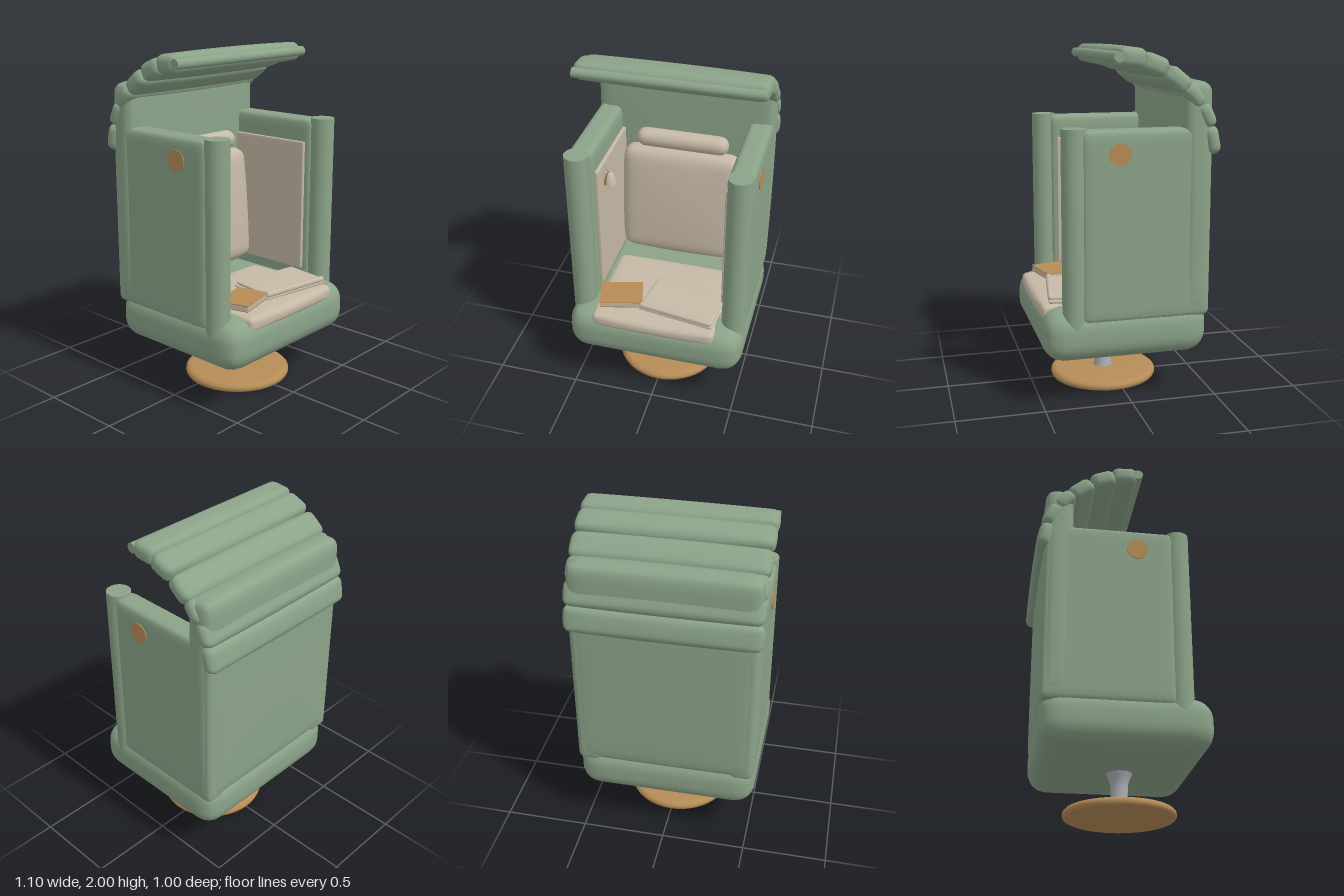
import * as THREE from 'three';
import { mergeVertices } from 'three/addons/utils/BufferGeometryUtils.js';

const mat = (name, color, side = THREE.FrontSide) => {
  const m = new THREE.MeshStandardMaterial({ color, side });
  m.name = name;
  return m;
};

// Upholstered block: rounded box whose faces swell by `puff`
function cushion(w, h, d, r, puff = 0, n = 18) {
  const g = new THREE.BoxGeometry(2, 2, 2, n, n, n);
  g.deleteAttribute('uv');
  g.deleteAttribute('normal');
  const half = [w / 2, h / 2, d / 2];
  const pos = g.attributes.position;
  for (let i = 0; i < pos.count; i++) {
    // crowd the grid toward the edges so the rounding is smooth
    const p = [pos.getX(i), pos.getY(i), pos.getZ(i)].map((t, a) => Math.sin(t * Math.PI / 2) * half[a]);
    const inner = p.map((v, a) => THREE.MathUtils.clamp(v, -(half[a] - r), half[a] - r));
    const dir = new THREE.Vector3(...p.map((v, a) => v - inner[a])).normalize().multiplyScalar(r).toArray();
    const q = inner.map((v, a) => v + dir[a]);
    const u = q.map((v, a) => v / half[a]);
    const f = u.map(v => 1 - v * v);
    pos.setXYZ(i,
      q[0] + puff * u[0] * f[1] * f[2],
      q[1] + puff * u[1] * f[0] * f[2],
      q[2] + puff * u[2] * f[0] * f[1]);
  }
  const m = mergeVertices(g, 1e-5);
  m.computeVertexNormals();
  return m;
}

export function createModel() {
  const green = mat('sage green fabric', 0x8ba389);
  const beige = mat('beige fabric', 0xc6b9a6);
  const wood = mat('wood', 0xb58c57);
  const steel = mat('steel', 0xabaeb3);
  const shadeBeige = mat('lamp shade beige', 0xc6b9a6, THREE.DoubleSide);
  const shadeWood = mat('lamp shade wood', 0xb58c57, THREE.DoubleSide);

  const model = new THREE.Group();
  model.name = 'hoodedPodChair';
  const add = (name, geo, material, x, y, z, parent = model) => {
    const m = new THREE.Mesh(geo, material);
    m.name = name;
    m.position.set(x, y, z);
    parent.add(m);
    return m;
  };
  const lathe = pts => new THREE.LatheGeometry(pts.map(p => new THREE.Vector2(...p)), 48);

  // Pedestal
  add('footDisc', lathe([[0, 0], [0.3, 0], [0.314, 0.006], [0.32, 0.02], [0.318, 0.035], [0.305, 0.047], [0.285, 0.053], [0, 0.055]]), wood, 0, 0, 0.05);
  add('stem', lathe([[0.057, 0.05], [0.05, 0.09], [0.048, 0.14], [0.049, 0.19], [0.056, 0.22], [0.068, 0.25], [0.078, 0.275]]), steel, 0, 0, 0.05);

  // Body
  add('base', cushion(1.065, 0.3, 0.95, 0.12), green, 0, 0.415, 0.025);
  add('backPanel', cushion(1.06, 1.31, 0.165, 0.06, 0.008), green, 0, 1.155, -0.367);
  for (const s of [-1, 1]) {
    const side = s > 0 ? 'left' : 'right';
    add(side + 'SidePanel', cushion(0.145, 1.07, 0.735, 0.04), green, s * 0.457, 1.027, -0.08);
    add(side + 'Column', new THREE.CylinderGeometry(0.07, 0.07, 1.12, 40), green, s * 0.46, 1.01, 0.32);
    add(side + 'InnerPad', cushion(0.024, 0.8, 0.56, 0.008), beige, s * 0.377, 1.025, -0.03);
    const disc = add(side + 'RoundPlate', new THREE.CylinderGeometry(0.061, 0.061, 0.008, 40), wood, s * 0.531, 1.43, 0.08);
    disc.rotation.z = Math.PI / 2;
  }

  // Hood made of overlapping padded segments: z, y, tilt, length, thickness
  const hood = new THREE.Group();
  hood.name = 'hood';
  model.add(hood);
  [
    [0.01, 1.94, 0.08, 0.15, 0.108],
    [-0.115, 1.902, 0.38, 0.15, 0.105],
    [-0.243, 1.822, 0.68, 0.155, 0.1],
    [-0.34, 1.735, 0.9, 0.14, 0.09],
    [-0.41, 1.63, 1.15, 0.145, 0.085],
    [-0.445, 1.493, 1.38, 0.155, 0.084],
  ].forEach(([z, y, tilt, len, thick], i) => {
    add('hoodSegment' + (i + 1), cushion(1.08, thick, len, 0.038, 0.008), green, 0, y, z, hood).rotation.x = -tilt;
  });
  const rim = add('hoodRim', new THREE.CylinderGeometry(0.029, 0.029, 1.08, 24), green, 0, 1.945, 0.088, hood);
  rim.rotation.z = Math.PI / 2;

  // Seat, back cushion and neck roll
  add('seatPad', cushion(0.74, 0.09, 0.62, 0.03, 0.014), beige, 0, 0.528, 0.178);
  const back = add('backCushion', cushion(0.72, 0.7, 0.15, 0.065, 0.018), beige, 0, 0.98, -0.235);
  back.rotation.x = -0.08;
  const roll = add('neckRoll', cushion(0.56, 0.112, 0.112, 0.055), beige, 0, 1.4, -0.25);
  roll.rotation.x = 0.2;

  // Folded blanket with a doubled front edge
  const blanket = new THREE.Group();
  blanket.name = 'blanket';
  blanket.position.set(0.145, 0.595, 0.265);
  blanket.rotation.y = -0.15;
  model.add(blanket);
  add('blanketLowerLayer', cushion(0.47, 0.022, 0.3, 0.01), beige, 0, -0.008, 0, blanket);
  add('blanketUpperLayer', cushion(0.45, 0.02, 0.28, 0.01), beige, 0, 0.011, 0, blanket);
  add('blanketFold', cushion(0.46, 0.034, 0.034, 0.016), beige, 0, 0.014, 0.137, blanket);

  // Book
  const book = new THREE.Group();
  book.name = 'book';
  book.position.set(-0.235, 0.605, 0.305);
  book.rotation.y = 0.245;
  model.add(book);
  add('bookPages', new THREE.BoxGeometry(0.245, 0.028, 0.185), beige, 0, 0, 0, book);
  for (const s of [-1, 1]) {
    add('bookCover', new THREE.BoxGeometry(0.252, 0.005, 0.191), wood, 0, s * 0.0165, 0, book);
  }

  // Hanging lamp, its shade split into two colours
  const lamp = new THREE.Group();
  lamp.name = 'lamp';
  lamp.position.set(-0.335, 1.29, 0.135);
  model.add(lamp);
  const shadePts = [[0.037, 0], [0.033, 0.025], [0.024, 0.055], [0.012, 0.07], [0, 0.074]].map(p => new THREE.Vector2(...p));
  const split = -Math.PI / 9;
  add('lampShadeLight', new THREE.LatheGeometry(shadePts, 20, split, Math.PI * 1.15), shadeBeige, 0, 0, 0, lamp);
  add('lampShadeDark', new THREE.LatheGeometry(shadePts, 16, split + Math.PI * 1.15, Math.PI * 0.85), shadeWood, 0, 0, 0, lamp);
  const cord = new THREE.LineCurve3(new THREE.Vector3(0, 0.07, 0), new THREE.Vector3(-0.035, 0.125, 0));
  add('lampArm', new THREE.TubeGeometry(cord, 1, 0.004, 8), steel, 0, 0, 0, lamp);

  return model;
}
